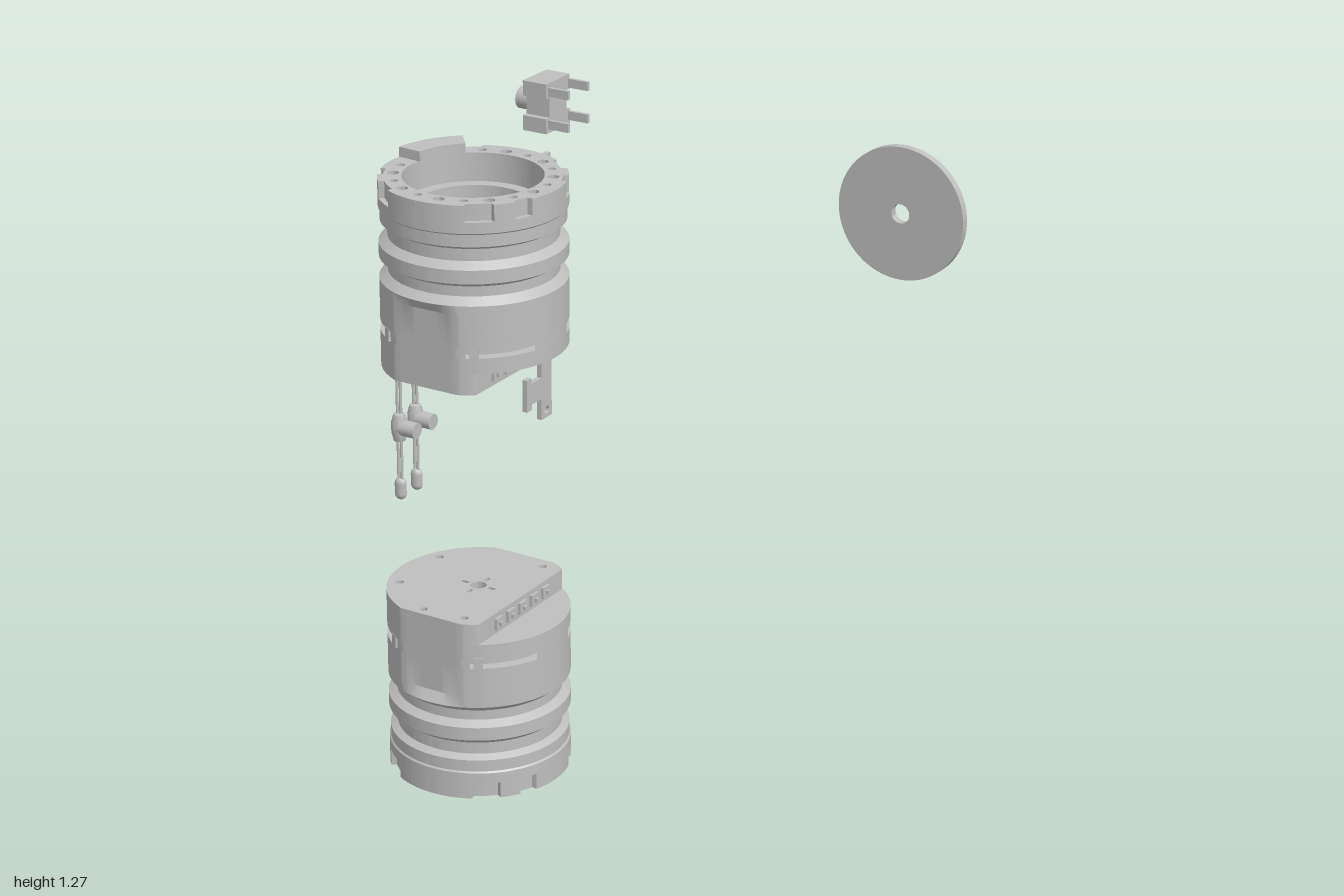
import * as THREE from 'three';
import { toCreasedNormals } from 'three/addons/utils/BufferGeometryUtils.js';

const grey = new THREE.MeshStandardMaterial({ color: 0xbfbfbf, side: THREE.DoubleSide });
grey.name = 'plain grey';
const R = 0.181, FLAT = 0.167, NOTCH_X = 0.1, RAD = Math.PI / 180;

function add(parent, name, geo, x = 0, y = 0, z = 0) {
  const m = new THREE.Mesh(geo, grey);
  m.name = name;
  m.position.set(x, y, z);
  parent.add(m);
  return m;
}
const box = (p, name, w, h, d, x, y, z) => add(p, name, new THREE.BoxGeometry(w, h, d), x, y, z);
const clamp = THREE.MathUtils.clamp;

// Extrude a plan shape upwards along y
function slab(shape, h) {
  const g = new THREE.ExtrudeGeometry(shape, { depth: h, bevelEnabled: false, curveSegments: 32 });
  return toCreasedNormals(g.rotateX(-Math.PI / 2), 0.5);
}
function circleHole(shape, x, y, r) {
  shape.holes.push(new THREE.Path().absarc(x, y, r, 0, Math.PI * 2, true));
}
function boxHole(shape, x, y, w, h) {
  const p = [[-1, -1], [-1, 1], [1, 1], [1, -1]].map(([a, b]) => new THREE.Vector2(x + a * w / 2, y + b * h / 2));
  shape.holes.push(new THREE.Path(p));
}
function sector(r0, r1, a0, a1) {
  return new THREE.Shape().absarc(0, 0, r1, a0 * RAD, a1 * RAD, false).absarc(0, 0, r0, a1 * RAD, a0 * RAD, true);
}

// Disc outline with two side flats and an optional straight cut at +x
function endShape(maxX) {
  const pts = [];
  for (let i = 0; i < 144; i++) {
    const a = i * 2.5 * RAD;
    pts.push(new THREE.Vector2(Math.min(R * Math.cos(a), maxX), clamp(R * Math.sin(a), -FLAT, FLAT)));
  }
  const s = new THREE.Shape(pts);
  circleHole(s, 0, 0, 0.016);
  for (const [x, y] of [[1, 0], [-1, 0], [0, 1], [0, -1]]) {
    boxHole(s, x * 0.031, y * 0.031, x ? 0.016 : 0.008, x ? 0.008 : 0.016);
  }
  return s;
}

// Turned wall whose lower part is shaved to the flats, with a sloped run-out
function wall(pts, start = 0, len = 360) {
  const g = new THREE.LatheGeometry(pts.map(p => new THREE.Vector2(...p)), Math.ceil(len / 2.5), start * RAD, len * RAD);
  const p = g.attributes.position;
  for (let i = 0; i < p.count; i++) {
    const lim = FLAT + (R - FLAT) * clamp((p.getY(i) - 0.158) / 0.02, 0, 1);
    p.setZ(i, clamp(p.getZ(i), -lim, lim));
  }
  return toCreasedNormals(g, 0.5);
}

// Housing, closed at y = 0 and open at the top
function housing(name, tabStart) {
  const g = new THREE.Group();
  g.name = name;

  const cap = endShape(NOTCH_X);
  for (const [x, y] of [[-0.14, 0.07], [-0.14, -0.07], [0.06, 0.14], [0.06, -0.14], [-0.03, 0.148]]) circleHole(cap, x, y, 0.008);
  add(g, 'closedEnd', slab(cap, 0.043));
  add(g, 'innerFloor', slab(endShape(1), 0.008), 0, 0.043);

  // Walls around the latch slots, then the ribbed wall and inner bore
  add(g, 'lowerWall', wall([[R, 0.043], [R, 0.074], [0.16, 0.074]]));
  add(g, 'slotBack', wall([[0.16, 0.074], [0.16, 0.094]]));
  for (const [a, len] of [[-28, 56], [72, 36], [152, 56], [252, 36]]) {
    add(g, 'slotPillar', wall([[R, 0.074], [R, 0.094]], a, len));
  }
  add(g, 'ribbedWall', wall([
    [0.16, 0.094], [R, 0.094], [R, 0.158], [R, 0.178], [0.164, 0.192], [0.164, 0.212], [R, 0.222], [R, 0.249],
    [0.164, 0.262], [0.164, 0.286], [0.178, 0.294], [0.178, 0.318], [R, 0.321], [R, 0.343], [0.135, 0.343],
    [0.135, 0.318], [0.111, 0.318], [0.111, 0.051]]));

  // Latch stops inside the slots
  for (const a of [33, 147, 213, 327]) {
    const m = box(g, 'latchStop', 0.018, 0.026, 0.022, Math.sin(a * RAD) * 0.171, 0.084, Math.cos(a * RAD) * 0.171);
    m.rotation.y = a * RAD;
  }

  // Castellated rim with a ring of blind holes
  const gaps = [37, 143, 217, 323, 65, 115, 245, 295];
  const rimPts = [];
  for (let a = 0; a < 360; a++) {
    const cut = gaps.some((c, i) => Math.abs(a - c) < (i < 4 ? 9 : 6));
    const r = cut ? 0.17 : R;
    rimPts.push(new THREE.Vector2(r * Math.sin(-a * RAD), r * Math.cos(a * RAD)));
  }
  const rim = new THREE.Shape(rimPts);
  circleHole(rim, 0, 0, 0.135);
  for (let i = 0; i < 20; i++) {
    const a = (i + 0.5) * 18 * RAD;
    circleHole(rim, 0.152 * Math.cos(a), 0.152 * Math.sin(a), i % 2 ? 0.011 : 0.008);
  }
  add(g, 'rim', slab(rim, 0.033), 0, 0.343);
  add(g, 'rimTab', slab(sector(0.13, R, tabStart, tabStart + 45), 0.02), 0, 0.376);

  // Socket block inside and its row of contacts on the cut face
  box(g, 'socketBlock', 0.055, 0.03, 0.15, 0.07, 0.066, 0);
  for (let i = -2; i <= 2; i++) {
    box(g, 'contactFrame', 0.006, 0.024, 0.024, NOTCH_X + 0.003, 0.022, i * 0.042);
    box(g, 'contactPin', 0.012, 0.008, 0.008, NOTCH_X + 0.006, 0.022, i * 0.042);
  }
  return g;
}

// Double-ended lever with a side boss
function lever(z) {
  const g = new THREE.Group();
  g.name = 'lever';
  for (const s of [-1, 1]) {
    const c = add(g, 'leverTip', new THREE.CapsuleGeometry(0.014, 0.024, 6, 16), 0, s * 0.146, 0);
    c.scale.z = 0.8;
    for (const x of [-0.0045, 0.0045]) {
      add(g, 'leverRod', new THREE.CylinderGeometry(0.0035, 0.0035, 0.11, 10), x, s * 0.08, 0);
    }
  }
  const hub = [[0.006, -0.034], [0.013, -0.031], [0.018, -0.012], [0.018, 0.012], [0.013, 0.031], [0.006, 0.034]];
  add(g, 'leverHub', toCreasedNormals(new THREE.LatheGeometry(hub.map(p => new THREE.Vector2(...p)), 20), 0.5));
  add(g, 'leverBoss', new THREE.CylinderGeometry(0.018, 0.018, 0.044, 24), 0.025, 0, 0).rotation.z = Math.PI / 2;
  g.position.set(-0.388, 0.386, z);
  return g;
}

export function createModel() {
  const model = new THREE.Group();
  model.name = 'explodedAssembly';

  const upper = housing('upperHousing', 130);
  upper.position.set(0.2235, 0.871, 0.82);
  const lower = housing('lowerHousing', 185);
  lower.rotation.x = Math.PI;
  lower.position.set(0.2235, 0.396, 0.82);
  model.add(upper, lower);

  // Flat disc with a centre hole
  const disc = new THREE.Shape().absarc(0, 0, 0.163, 0, Math.PI * 2, false);
  circleHole(disc, 0, 0, 0.0235);
  const discGeo = new THREE.ExtrudeGeometry(disc, { depth: 0.021, bevelEnabled: false, curveSegments: 64 });
  add(model, 'disc', toCreasedNormals(discGeo, 0.5), 0.215, 0.637, -1);

  // Rack strip with T-shaped teeth, outlined in (z, y)
  const strip = [[-0.14, 0.33], [-0.098, 0.33], [-0.098, 0.365]];
  for (let i = 0; i < 5; i++) {
    const y = 0.406 + i * 0.119;
    strip.push([-0.098, y - 0.025], [-0.058, y - 0.025], [-0.058, y - 0.038], [-0.039, y - 0.038],
      [-0.039, y + 0.038], [-0.058, y + 0.038], [-0.058, y + 0.025], [-0.098, y + 0.025]);
  }
  strip.push([-0.098, 0.948], [-0.14, 0.948]);
  const rack = new THREE.Shape(strip.map(([z, y]) => new THREE.Vector2(-z, y)).reverse());
  for (const y of [0.348, 0.93]) circleHole(rack, 0.119, y, 0.009);
  const rackGeo = new THREE.ExtrudeGeometry(rack, { depth: 0.012, bevelEnabled: false });
  add(model, 'rackStrip', rackGeo.rotateY(Math.PI / 2), -0.23, 0, 0);

  // Push switch: waisted body, round button and four legs
  const sw = new THREE.Group();
  sw.name = 'pushSwitch';
  sw.position.set(0, 1.05, -0.17);
  box(sw, 'switchCore', 0.06, 0.113, 0.068, -0.247, 0, 0);
  for (const s of [-1, 1]) {
    box(sw, 'switchFlange', 0.06, 0.034, 0.096, -0.247, s * 0.0395, 0);
    for (const z of [-0.044, 0.036]) box(sw, 'switchLeg', 0.055, 0.02, 0.008, -0.1935, s * 0.037, z);
  }
  add(sw, 'switchButton', new THREE.CylinderGeometry(0.025, 0.025, 0.04, 32), -0.294, 0, -0.003).rotation.z = Math.PI / 2;
  model.add(sw);

  model.add(lever(0.15), lever(0.212));
  return model;
}
